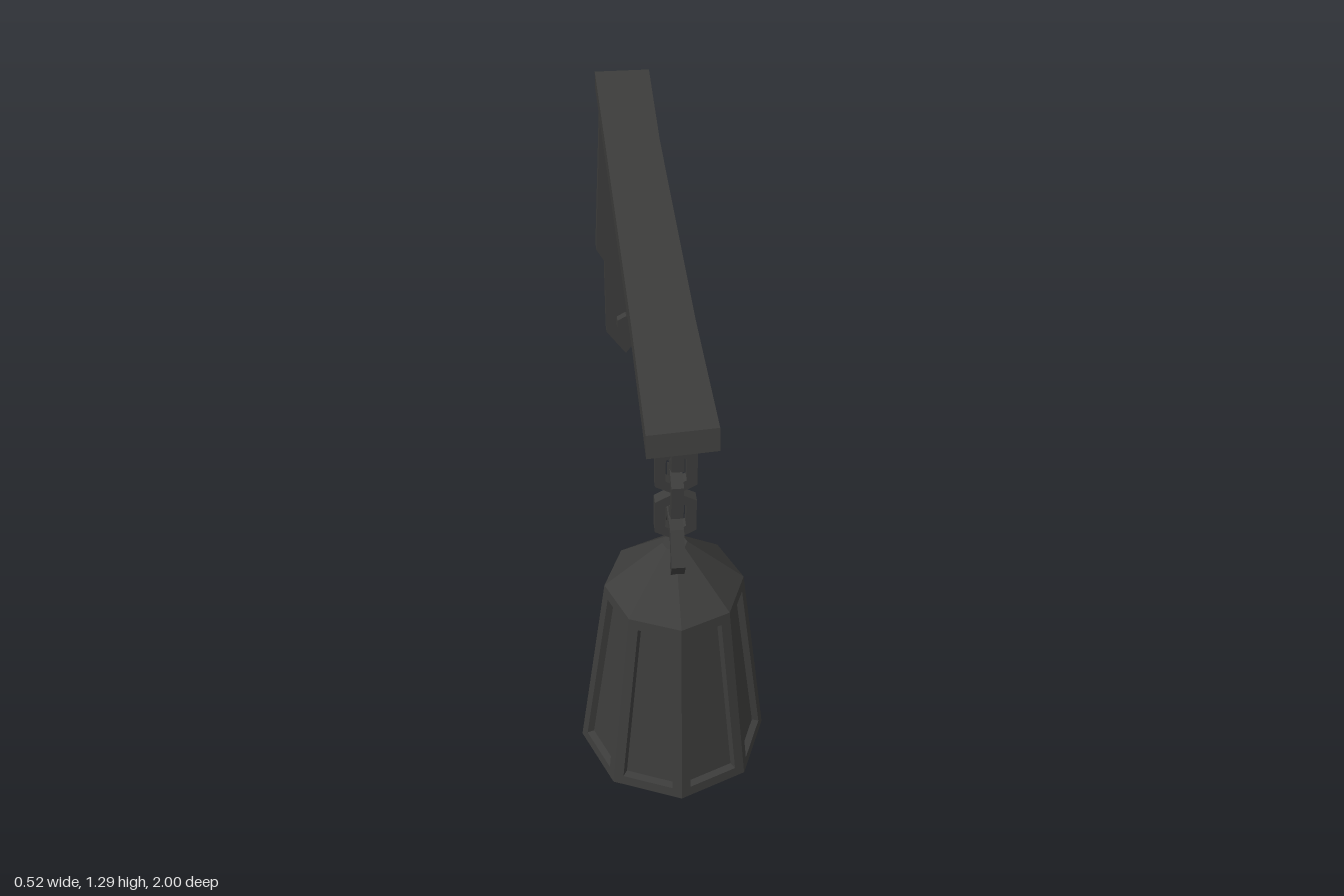
import * as THREE from 'three';

const iron = new THREE.MeshStandardMaterial({ color: 0x3c3c3b, flatShading: true });
const LANTERN_Z = 0.74;

function add(parent, name, geometry) {
  const mesh = new THREE.Mesh(geometry, iron);
  mesh.name = name;
  parent.add(mesh);
  return mesh;
}

// Extrude a shape drawn in (z, y) so that its thickness runs along x, centred on x = 0
function extrudeSide(shape, thickness) {
  return new THREE.ExtrudeGeometry(shape, { depth: thickness, bevelEnabled: false })
    .translate(0, 0, -thickness / 2).rotateY(-Math.PI / 2);
}

const toShape = (pts) => new THREE.Shape(pts.map(([x, y]) => new THREE.Vector2(x, y)));

// Flat bar of constant width following a polyline with mitred corners
function barShape(points, width) {
  const p = points.map(([x, y]) => new THREE.Vector2(x, y));
  const left = [], right = [];
  p.forEach((c, i) => {
    const a = c.clone().sub(p[Math.max(i - 1, 0)]).normalize();
    const b = p[Math.min(i + 1, p.length - 1)].clone().sub(c).normalize();
    const dir = a.clone().add(b).normalize();
    const n = new THREE.Vector2(-dir.y, dir.x);
    const ref = i === 0 ? b : a;
    const half = width / 2 / Math.max(0.5, n.dot(new THREE.Vector2(-ref.y, ref.x)));
    left.push(c.clone().addScaledVector(n, half));
    right.unshift(c.clone().addScaledVector(n, -half));
  });
  return new THREE.Shape([...left, ...right]);
}

const hexagon = (r, cx = 0, cy = 0) => Array.from({ length: 6 }, (_, i) => {
  const a = Math.PI / 6 + i * Math.PI / 3;
  return [cx + r * Math.cos(a), cy + r * Math.sin(a)];
});

function withHoles(shape, ...holes) {
  shape.holes = holes.map(toShape);
  return shape;
}

// One lantern side: raised frame, sloped reveal and recessed pane
function lanternSide() {
  const s = Math.sin(Math.PI / 8), c = Math.cos(Math.PI / 8);
  const radius = (y) => 0.26 + (y - 0.07) / 0.58 * (0.187 - 0.26);
  const trapezoid = (y0, y1, inset, depth) => [[-1, y0], [1, y0], [1, y1], [-1, y1]].map(
    ([side, y]) => [side * (radius(y) * s - inset), y, radius(y) * c - depth]);
  const loops = [
    trapezoid(0.07, 0.65, 0, 0),
    trapezoid(0.1, 0.62, 0.027, 0),
    trapezoid(0.104, 0.616, 0.031, 0.018),
  ];
  const pos = [];
  const quad = (a, b, d, e) => pos.push(...a, ...b, ...d, ...a, ...d, ...e);
  for (let k = 0; k < 2; k++) {
    for (let i = 0; i < 4; i++) {
      const j = (i + 1) % 4;
      quad(loops[k][i], loops[k][j], loops[k + 1][j], loops[k + 1][i]);
    }
  }
  quad(...loops[2]);
  const g = new THREE.BufferGeometry();
  g.setAttribute('position', new THREE.Float32BufferAttribute(pos, 3));
  g.computeVertexNormals();
  return g;
}

function createLantern() {
  const lantern = new THREE.Group();
  lantern.name = 'lantern';
  add(lantern, 'lanternBase', new THREE.CylinderGeometry(0.26, 0.2, 0.07, 8).translate(0, 0.035, 0));
  add(lantern, 'lanternRoof', new THREE.CylinderGeometry(0.033, 0.187, 0.14, 8).translate(0, 0.72, 0));
  const side = lanternSide();
  for (let i = 0; i < 8; i++) {
    add(lantern, 'lanternPane', side).rotation.y = (i + 0.5) * Math.PI / 4;
  }
  // Hanging ring set into the roof
  const ring = withHoles(
    toShape([[-0.1, 0.79], [-0.052, 0.7], [0.052, 0.7], [0.1, 0.79], [0.052, 0.878], [-0.052, 0.878]]),
    [[-0.07, 0.79], [-0.037, 0.728], [0.037, 0.728], [0.07, 0.79], [0.037, 0.85], [-0.037, 0.85]]);
  add(lantern, 'hangingRing', extrudeSide(ring, 0.036));
  return lantern;
}

function createChain() {
  const chain = new THREE.Group();
  chain.name = 'chain';
  const outline = (w, h, k) => [[0, h], [-w, k], [-w, -k], [0, -h], [w, -k], [w, k]];
  const link = extrudeSide(withHoles(toShape(outline(0.054, 0.08, 0.05)), outline(0.027, 0.05, 0.034)), 0.032);
  [1.122, 1.046, 0.968, 0.893].forEach((y, i) => {
    const mesh = add(chain, 'chainLink', link);
    mesh.position.y = y;
    mesh.rotation.y = i % 2 ? Math.PI / 2 : 0;
  });
  return chain;
}

function createScrollwork() {
  const scrolls = new THREE.Group();
  scrolls.name = 'scrollwork';
  const paths = {
    mainScroll: [[0.5, 1.13], [0.56, 1.115], [0.587, 1.16], [0.558, 1.215], [0.43, 1.19], [0.295, 1.035],
      [0.02, 0.972], [-0.16, 1.035], [-0.34, 1.108], [-0.59, 1.215], [-0.835, 1.18], [-0.938, 1.005],
      [-0.868, 0.85], [-0.672, 0.82], [-0.555, 0.965], [-0.598, 1.092], [-0.73, 1.115], [-0.783, 1.025],
      [-0.715, 0.96]],
    branchScroll: [[0, 0.978], [-0.16, 1.008], [-0.41, 1.028], [-0.527, 0.96], [-0.507, 0.86],
      [-0.442, 0.828], [-0.394, 0.88], [-0.447, 0.922]],
    frontCurl: [[0.295, 1.035], [0.307, 1.163], [0.232, 1.22], [0.163, 1.18], [0.18, 1.125], [0.24, 1.13]],
    rearCurl: [[-0.155, 1.035], [-0.228, 1.147], [-0.19, 1.228], [-0.11, 1.222], [-0.11, 1.162], [-0.158, 1.152]],
  };
  for (const [name, path] of Object.entries(paths)) {
    add(scrolls, name, extrudeSide(barShape(path, 0.03), 0.04));
  }
  return scrolls;
}

export function createModel() {
  const model = new THREE.Group();
  model.name = 'hangingLantern';

  // Top beam, slightly waisted, with a slanted front end
  const beam = new THREE.BoxGeometry(0.178, 0.058, 1.93, 1, 1, 4).translate(0, 1.265, -0.035);
  const p = beam.attributes.position;
  for (let i = 0; i < p.count; i++) {
    const x = p.getX(i), y = p.getY(i), z = p.getZ(i);
    if (z > 0.9) {
      p.setZ(i, 0.92 + (y < 1.265 ? 0.015 : 0) - (x > 0 ? 0.015 : 0));
      p.setX(i, x - 0.003);
    } else if (z > -0.9) {
      p.setX(i, x * 0.94 - 0.005);
    }
  }
  add(model, 'topBeam', beam);

  // Wall plate: flares downward, steps in, then ends in a point
  const half = [[0.075, 1.24], [0.1, 0.64], [0.072, 0.59], [0.07, 0.29]];
  const outline = [...half, [0, 0.19], ...half.map(([x, y]) => [-x, y]).reverse()];
  const boltHeights = [1.12, 0.335];
  const plate = withHoles(toShape(outline), ...boltHeights.map((y) => hexagon(0.037, 0, y)));
  add(model, 'wallPlate', new THREE.ExtrudeGeometry(plate, { depth: 0.045, bevelEnabled: false }).translate(0, 0, -1));
  for (const y of boltHeights) {
    const bolt = new THREE.ExtrudeGeometry(toShape(hexagon(0.036, 0, y)), { depth: 0.065, bevelEnabled: false });
    add(model, 'bolt', bolt.translate(0, 0, -0.993));
  }

  model.add(createScrollwork());
  const hanging = new THREE.Group();
  hanging.name = 'hangingAssembly';
  hanging.add(createChain(), createLantern());
  hanging.position.z = LANTERN_Z;
  model.add(hanging);
  return model;
}
